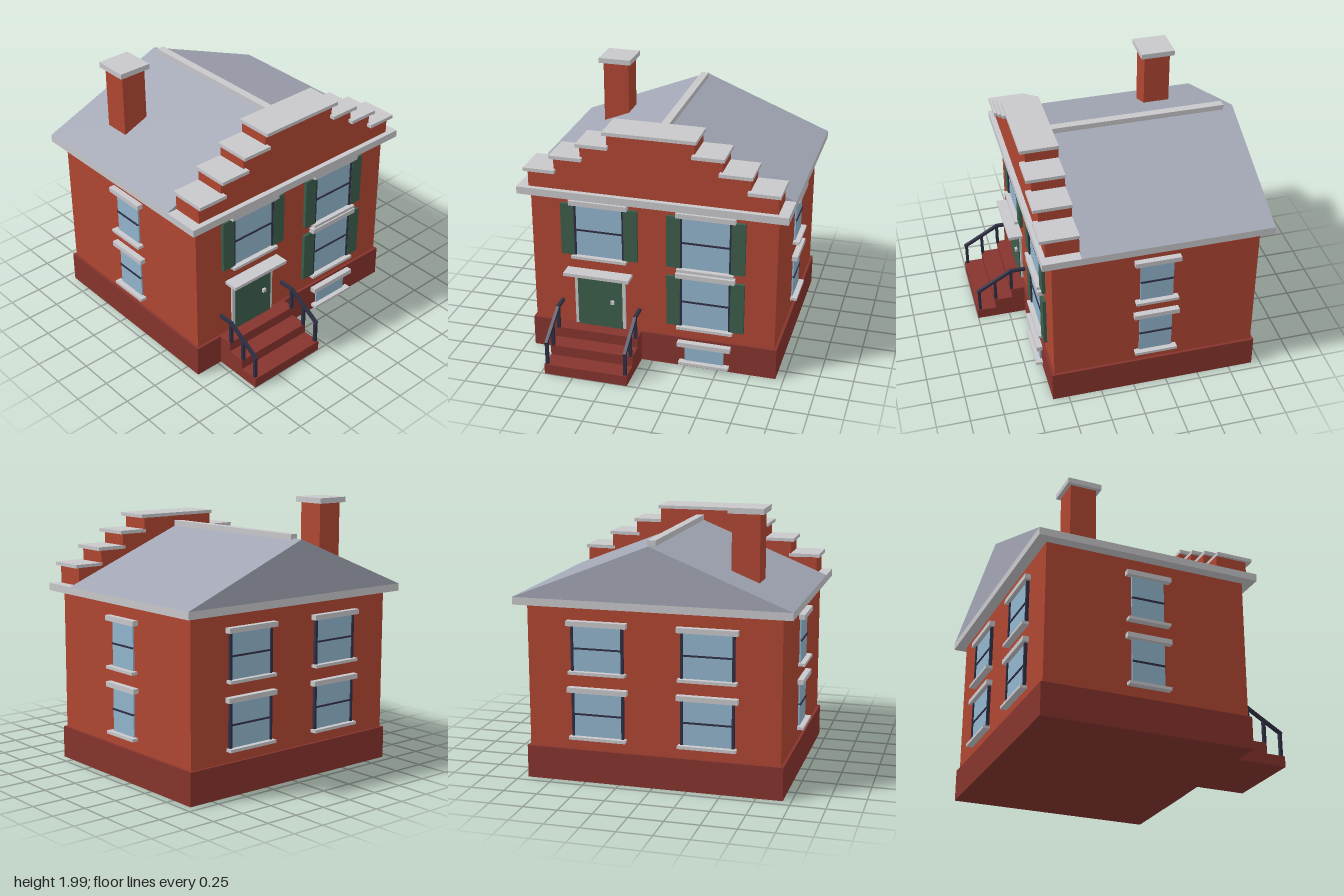
import * as THREE from 'three';

const mat = (name, color) => {
  const m = new THREE.MeshStandardMaterial({ color });
  m.name = name;
  return m;
};

export function createModel() {
  const house = new THREE.Group();
  house.name = 'townHouse';
  const brick = mat('brick red', 0xb04632);
  const plinth = mat('dark red', 0x86342d);
  const stone = mat('pale stone', 0xc8c8cc);
  const slate = mat('slate', 0xa2a6b4);
  const glass = mat('glass blue', 0x92b5cd);
  const green = mat('dark green', 0x3c5d4b);
  const iron = mat('dark iron', 0x2f2f45);

  // Box given by its limits on each axis
  function box(name, m, x0, x1, y0, y1, z0, z1, parent = house) {
    const mesh = new THREE.Mesh(new THREE.BoxGeometry(x1 - x0, y1 - y0, z1 - z0), m);
    mesh.position.set((x0 + x1) / 2, (y0 + y1) / 2, (z0 + z1) / 2);
    mesh.name = name;
    parent.add(mesh);
    return mesh;
  }

  // Main body
  box('plinth', plinth, -0.94, 0.94, 0, 0.24, -0.935, 0.62);
  box('walls', brick, -0.92, 0.92, 0.24, 1.29, -0.915, 0.6);
  box('cornice', stone, -1, 1, 1.29, 1.345, -0.995, 0.68);

  // Gabled roof with ridge cap
  const gable = new THREE.Shape([[-1, 1.345], [1, 1.345], [0, 1.745]].map(p => new THREE.Vector2(...p)));
  const roof = new THREE.Mesh(new THREE.ExtrudeGeometry(gable, { depth: 1.395, bevelEnabled: false }), slate);
  roof.position.z = -0.995;
  roof.name = 'roof';
  house.add(roof);
  box('ridgeCap', stone, -0.03, 0.03, 1.735, 1.775, -0.915, 0.4);

  // Stepped front parapet: one outline, capped on every step
  const half = [[0.92, 1.345], [0.92, 1.478], [0.72, 1.478], [0.72, 1.592], [0.52, 1.592],
    [0.52, 1.702], [0.32, 1.702], [0.32, 1.812]];
  const outline = [...half, ...half.map(([x, y]) => [-x, y]).reverse()];
  const parapet = new THREE.Mesh(new THREE.ExtrudeGeometry(
    new THREE.Shape(outline.map(p => new THREE.Vector2(...p))), { depth: 0.24, bevelEnabled: false }), brick);
  parapet.position.z = 0.4;
  parapet.name = 'steppedParapet';
  house.add(parapet);
  for (const [inner, outer, y] of [[0.705, 0.94, 1.475], [0.5, 0.74, 1.59], [0.305, 0.54, 1.7]]) {
    box('parapetCapLeft', stone, inner, outer, y, y + 0.026, 0.4, 0.68);
    box('parapetCapRight', stone, -outer, -inner, y, y + 0.026, 0.4, 0.68);
  }
  box('parapetTopCap', stone, -0.34, 0.34, 1.81, 1.836, 0.4, 0.68);

  // Chimney
  box('chimney', brick, -0.7, -0.5, 1.36, 1.945, -0.66, -0.46);
  box('chimneyCap', stone, -0.73, -0.475, 1.945, 1.985, -0.69, -0.43);

  // Window built facing +z at the origin, then turned onto its wall
  function window_(name, x, z, turn, w, y0, y1, { bar = true, jambs = true, shutters = false, ledge = 0.22 } = {}) {
    const g = new THREE.Group();
    g.name = name;
    const h = w / 2;
    box('pane', glass, -h, h, y0, y1, 0, 0.012, g);
    if (bar) box('sashBar', iron, -h, h, (y0 + y1) / 2 - 0.006, (y0 + y1) / 2 + 0.006, 0, 0.02, g);
    box('lintel', stone, -ledge, ledge, y1, y1 + 0.037, 0, 0.045, g);
    box('sill', stone, -ledge + 0.01, ledge - 0.01, y0 - 0.022, y0, 0, 0.05, g);
    for (const s of [-1, 1]) {
      if (jambs) box('jamb', iron, s * (h + 0.004) - 0.009, s * (h + 0.004) + 0.009, y0, y1, 0, 0.022, g);
      if (shutters) box('shutter', green, s * 0.239 - 0.051, s * 0.239 + 0.051, y0, y1, 0, 0.025, g);
    }
    g.position.set(x, 0, z);
    g.rotation.y = turn;
    house.add(g);
  }

  // Front windows
  for (const [x, y0, y1] of [[-0.4, 0.82, 1.226], [0.4, 0.82, 1.226], [0.4, 0.344, 0.745]]) {
    window_('frontWindow', x, 0.6, 0, 0.36, y0, y1, { shutters: true });
  }
  window_('basementWindow', 0.4, 0.62, 0, 0.295, 0.056, 0.184, { bar: false, jambs: false, ledge: 0.2 });
  // Side and back windows on two floors
  for (const [y0, y1] of [[0.343, 0.667], [0.823, 1.15]]) {
    for (const s of [-1, 1]) {
      window_('sideWindow', s * 0.92, -0.16, s * Math.PI / 2, 0.245, y0, y1, { jambs: false, ledge: 0.168 });
      window_('backWindow', s * 0.4, -0.915, Math.PI, 0.36, y0, y1);
    }
  }

  // Front door
  const door = new THREE.Group();
  door.name = 'frontDoor';
  house.add(door);
  box('doorFrame', stone, -0.6, -0.208, 0.24, 0.68, 0.6, 0.615, door);
  box('doorLeaf', green, -0.575, -0.232, 0.24, 0.648, 0.6, 0.622, door);
  box('doorKnob', stone, -0.318, -0.29, 0.446, 0.474, 0.62, 0.64, door);
  box('doorCanopy', stone, -0.655, -0.155, 0.678, 0.703, 0.6, 0.71, door);

  // Entrance steps
  [[0, 1], [0.08, 0.855], [0.16, 0.72]].forEach(([y, z]) =>
    box('step', plinth, -0.72, -0.085, y, y + 0.08, 0.61, z));

  // Handrails: posts, sloped rail and level rail
  for (const x of [-0.702, -0.102]) {
    const rail = new THREE.Group();
    rail.name = 'handrail';
    house.add(rail);
    [[0.978, 0.08], [0.848, 0.16], [0.718, 0.24]].forEach(([z, y]) =>
      box('railPost', iron, x - 0.012, x + 0.012, y, y + 0.175, z - 0.011, z + 0.011, rail));
    const rise = 0.16, run = 0.27;
    const slope = box('slopedRail', iron, x - 0.012, x + 0.012, 0, 0.022, 0, Math.hypot(rise, run) + 0.008, rail);
    slope.position.set(x, 0.336, 0.853);
    slope.rotation.x = Math.atan2(rise, run);
    box('levelRail', iron, x - 0.012, x + 0.012, 0.405, 0.427, 0.6, 0.728, rail);
  }
  return house;
}
